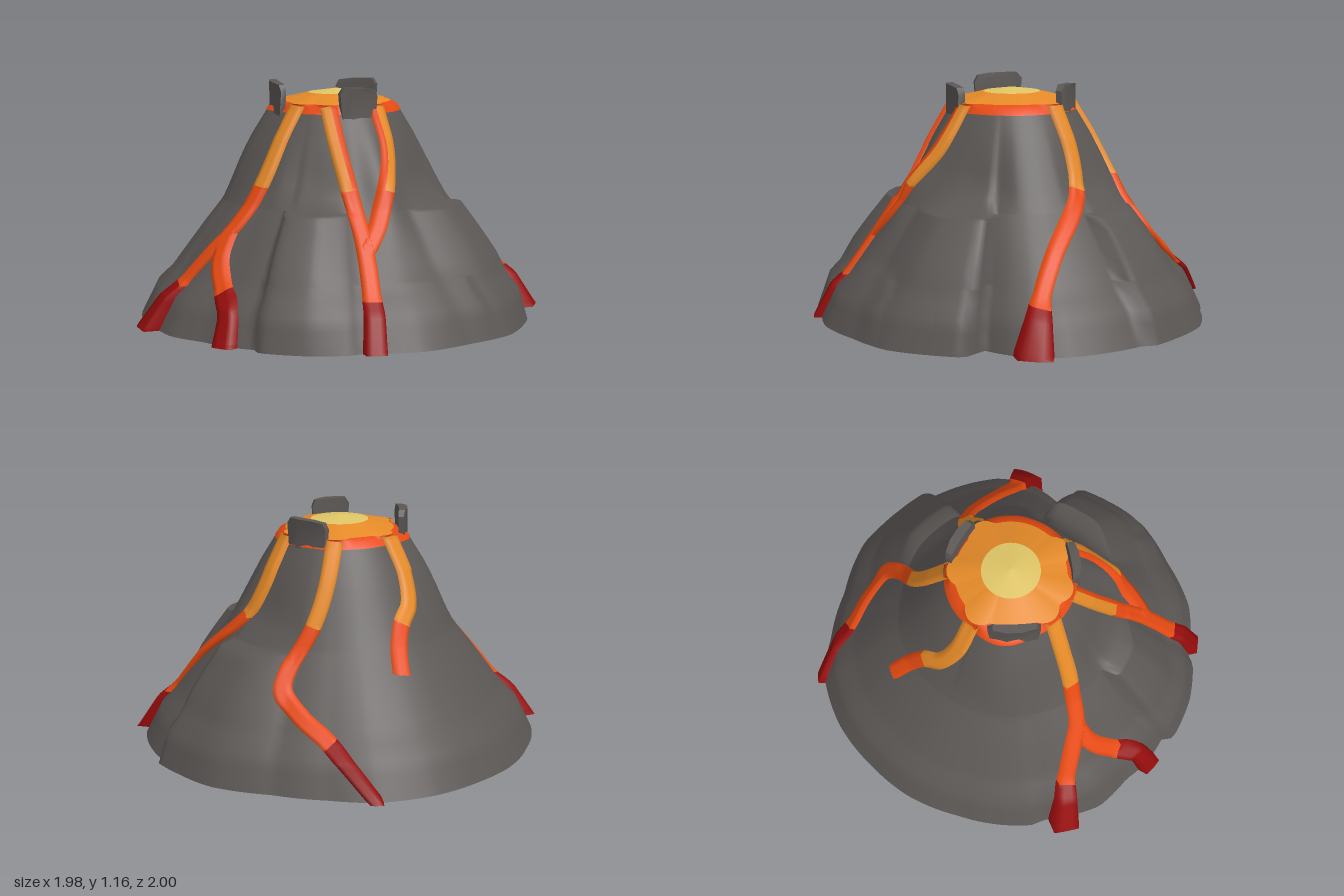
import * as THREE from 'three';
import { toCreasedNormals } from 'three/addons/utils/BufferGeometryUtils.js';

const mat = (name, color) => {
  const m = new THREE.MeshStandardMaterial({ color, side: THREE.DoubleSide });
  m.name = name;
  return m;
};
const { sin, cos, PI, atan2, hypot, min, max, abs } = Math;
const DEG = PI / 180;

// piecewise linear lookup in sorted [key, value] pairs
function lookup(table, k) {
  for (let i = 1; i < table.length; i++) {
    const [a, u] = table[i - 1], [b, v] = table[i];
    if (k <= b) return u + (v - u) * max(0, (k - a) / (b - a));
  }
  return table[table.length - 1][1];
}

// footprint of the mountain as x, z pairs, turned into angle / radius
const foot = [
  [0.05, -1], [0.27, -0.96], [0.45, -0.9], [0.47, -0.85], [0.78, -0.6], [0.84, -0.47], [0.85, -0.33],
  [0.82, -0.2], [0.96, -0.16], [0.985, 0], [0.985, 0.22], [0.87, 0.45], [0.72, 0.68], [0.47, 0.83],
  [0.45, 0.87], [0.27, 0.96], [0.04, 0.995], [0, 0.95], [-0.15, 0.95], [-0.28, 0.91], [-0.48, 0.87],
  [-0.7, 0.67], [-0.76, 0.63], [-0.93, 0.28], [-0.985, 0], [-0.96, -0.23], [-0.87, -0.51],
  [-0.7, -0.73], [-0.5, -0.83], [-0.25, -0.92],
].map(([x, z]) => [atan2(z, x) / DEG, hypot(x, z)]).sort((a, b) => a[0] - b[0]);
const first = foot[0], last = foot[foot.length - 1];
const outline = [[last[0] - 360, last[1]], ...foot, [first[0] + 360, first[1]]];

const slope = [[0, 0.98], [0.16, 0.9], [0.22, 0.835], [0.45, 0.665], [0.59, 0.555], [0.69, 0.5], [0.9, 0.388], [1.05, 0.295]];

// rock shoulders: sharp edge angle, soft edge angle, top height, bulge, hollow above
const shoulders = [[-12, 30, 0.575, 0.07, 0.1], [91, 58, 0.575, 0.065, 0.07], [-62, -104, 0.555, 0.06, 0.08], [19, 50, 0.28, 0.025, 0]];
const bulgeRise = [[0, 0], [0.16, 0.45], [0.35, 1]];
const hollowRise = [[0.575, 0], [0.69, 1], [1.05, 0]];
// soft ridges: centre angle, half width, thickness by height
const ridges = [
  [155, 35, [[0.55, 0], [0.8, 0.03], [1.05, 0.03]]],
  [41, 14, [[0.4, 0], [0.68, 0.035], [1, 0]]],
];

// mountain radius at an angle and height
function radius(theta, y) {
  let a = theta / DEG;
  a -= 360 * Math.floor((a + 180) / 360);
  const w = max(0, 1 - y / 1.05);
  let r = lookup(slope, y) * (1 + (lookup(outline, a) / 0.98 - 1) * w);
  for (const [sharp, soft, top, bulge, hollow] of shoulders) {
    const u = (a - sharp) / (soft - sharp);
    if (y <= top && u >= 0 && u <= 1) r += bulge * lookup(bulgeRise, y) * min(1, 2 * (1 - u)) ;
    const v = (u + 0.3) / 1.3;
    if (y > top && v > 0 && v < 1) r *= 1 - hollow * sin(v * PI) * lookup(hollowRise, y);
  }
  for (const [centre, half, rise] of ridges) {
    const u = abs(a - centre) / half;
    if (u < 1) r += lookup(rise, y) * cos(u * PI / 2) ** 2;
  }
  return r;
}

// surface through rows of points
function sheet(rows) {
  const n = rows[0].length, pos = [], idx = [];
  rows.forEach(row => row.forEach(p => pos.push(p.x, p.y, p.z)));
  for (let i = 0; i + 1 < rows.length; i++) {
    for (let j = 0; j + 1 < n; j++) {
      const a = i * n + j, b = a + n;
      idx.push(a, b, a + 1, a + 1, b, b + 1);
    }
  }
  const g = new THREE.BufferGeometry();
  g.setAttribute('position', new THREE.Float32BufferAttribute(pos, 3));
  g.setIndex(idx);
  g.computeVertexNormals();
  return g;
}

const around = (count, fn) => Array.from({ length: count + 1 }, (_, j) => {
  const t = -j / count * PI * 2;
  const [r, y] = fn(t);
  return new THREE.Vector3(r * cos(t), y, r * sin(t));
});

// lava runs: extra half width and thickness at the foot, side that glows hotter (0 for none), x, y, z points
const streams = {
  frontRightLava: [0.035, 0.05, 0, [[-0.08, 1.055, 0.29], [-0.13, 0.9, 0.38], [-0.18, 0.69, 0.46], [-0.28, 0.48, 0.57], [-0.37, 0.38, 0.61], [-0.5, 0.22, 0.66], [-0.65, 0, 0.76]]],
  frontRightLavaBranch: [0.018, 0.02, 0, [[-0.29, 0.48, 0.57], [-0.3, 0.35, 0.67], [-0.24, 0.23, 0.79], [-0.17, 0.15, 0.88], [-0.145, 0, 0.95]]],
  frontLeftLava: [0.012, 0.015, -1, [[0.08, 1.055, 0.29], [0.16, 0.88, 0.37], [0.25, 0.69, 0.44], [0.38, 0.45, 0.56], [0.46, 0.22, 0.67], [0.525, 0, 0.79]]],
  leftLava: [0, 0, 1, [[0.27, 1.055, 0.14], [0.37, 0.85, 0.23], [0.41, 0.68, 0.36], [0.42, 0.52, 0.48], [0.4, 0.42, 0.57]]],
  backLeftLava: [0.05, 0.045, 0, [[0.12, 1.055, -0.27], [0.18, 0.8, -0.39], [0.26, 0.66, -0.45], [0.55, 0.41, -0.44], [0.72, 0.22, -0.44], [0.84, 0, -0.45]]],
  backLava: [-0.008, 0.01, 0, [[-0.15, 1.055, -0.26], [-0.19, 0.85, -0.4], [-0.18, 0.68, -0.5], [-0.13, 0.5, -0.62], [-0.15, 0.41, -0.7], [-0.27, 0.32, -0.73], [-0.43, 0.22, -0.71], [-0.69, 0, -0.715]]],
  rightLava: [0, 0, 0, [[-0.29, 1.055, -0.02], [-0.4, 0.87, -0.04], [-0.47, 0.75, -0.1], [-0.5, 0.68, -0.19], [-0.53, 0.57, -0.27], [-0.575, 0.48, -0.325]]],
};
const across = [-1, -0.8, -0.35, 0, 0.35, 0.8, 1];

// strip that hugs the slope; edge and crown are its thickness over the rock
function strip(samples, lo, hi, columns, flare, edge, crown, swell) {
  const rows = [];
  for (let i = lo; i <= hi; i++) {
    const p = samples[i];
    const tan = samples[min(i + 1, samples.length - 1)].clone().sub(samples[max(i - 1, 0)]);
    const t = atan2(p.z, p.x);
    const side = tan.cross(new THREE.Vector3(cos(t) * 0.82, 0.57, sin(t) * 0.82)).normalize();
    const low = max(0, 1 - p.y / 0.25);
    const half = 0.043 + flare * low;
    rows.push(columns.map(s => {
      const q = p.clone().addScaledVector(side, s * half);
      q.y = i === samples.length - 1 && p.y < 0.01 ? 0 : max(0, min(1.06, q.y));
      const a = atan2(q.z, q.x);
      const r = radius(a, q.y) + (abs(s) === 1 ? edge : crown + swell * low);
      return q.set(r * cos(a), q.y, r * sin(a));
    }));
  }
  return sheet(rows);
}

export function createModel() {
  const group = new THREE.Group();
  const rock = mat('rock grey', 0x5b5755);
  const yellow = mat('pale yellow lava', 0xdfc566);
  const amber = mat('amber lava', 0xe58a28);
  const orange = mat('orange lava', 0xe64a12);
  const red = mat('dark red lava', 0x930c0c);
  const add = (name, geometry, material, parent = group) => {
    const mesh = new THREE.Mesh(geometry, material);
    mesh.name = name;
    parent.add(mesh);
  };

  // mountain
  const heights = [0, 0.05, 0.1, 0.16, 0.22, 0.275, 0.285, 0.34, 0.4, 0.45, 0.5, 0.55, 0.56, 0.574, 0.58, 0.64, 0.69, 0.76, 0.83, 0.9, 0.97, 1.04];
  add('mountain', sheet(heights.map(y => around(180, t => [radius(t, y), y]))), rock);

  // crater: hot edge, lava pool spilling into each stream, bright centre
  const spouts = Object.values(streams).map(s => s[3][0]).filter(p => p[1] > 1).map(p => atan2(p[2], p[0]));
  const poolRadius = t => 0.268 + 0.04 * max(0, ...spouts.map(s => (cos(t - s) - 0.96) / 0.04));
  add('craterEdge', sheet([
    around(90, t => [radius(t, 1.015) + 0.004, 1.015]),
    around(90, t => [radius(t, 1.045) + 0.002, 1.045]),
    around(90, t => [poolRadius(t), 1.06]),
  ]), orange);
  add('lavaPool', sheet([around(90, t => [poolRadius(t), 1.06]), around(90, () => [0.14, 1.1])]), amber);
  add('lavaCentre', sheet([around(40, () => [0.142, 1.1]), around(40, () => [0.001, 1.12])]), yellow);

  // lava streams, cooling from amber to red, seen on both sides of the rock shell
  for (const [name, [flare, swell, hot, pts]] of Object.entries(streams)) {
    const stream = new THREE.Group();
    stream.name = name;
    group.add(stream);
    const curve = new THREE.CatmullRomCurve3(pts.map(p => new THREE.Vector3(...p)), false, 'centripetal');
    const s = curve.getSpacedPoints(70);
    const cut = y => { const i = s.findIndex(p => p.y < y); return i < 0 ? 70 : i; };
    const ends = [0, cut(0.685), cut(0.22), 70];
    [['upper', amber], ['middle', orange], ['lower', red]].forEach(([part, m], k) => {
      const [lo, hi] = [ends[k], ends[k + 1]];
      if (hi <= lo) return;
      const edged = k === 0 && hot !== 0;
      const main = edged ? across.filter(c => c * hot <= 0.35) : across;
      add(part + 'Flow', strip(s, lo, hi, main, flare, 0.002, 0.026, swell), m, stream);
      if (edged) add('hotEdge', strip(s, lo, hi, across.filter(c => c * hot >= 0.35), flare, 0.002, 0.026, swell), orange, stream);
      add(part + 'FlowInside', strip(s, lo, hi, across, flare, -0.012, -0.012, 0), m, stream);
    });
  }

  // upright rocks on the crater rim, bent to follow it: x, z, width, top height
  for (const [x, z, w, top] of [[-0.25, 0.185, 0.25, 1.16], [0.21, 0.222, 0.19, 1.145], [-0.01, -0.295, 0.22, 1.15]]) {
    const h = w / 2, b = 0.99;
    const shape = new THREE.Shape([
      [-h * 0.9, b], [-h * 0.3, b], [h * 0.3, b], [h * 0.9, b], [h, top - 0.045], [h * 0.85, top - 0.012],
      [h * 0.3, top - 0.004], [-h * 0.3, top - 0.002], [-h * 0.8, top], [-h, top - 0.03],
    ].map(p => new THREE.Vector2(...p)));
    const g = new THREE.ExtrudeGeometry(shape, { depth: 0.045, bevelEnabled: false });
    const p = g.attributes.position;
    for (let i = 0; i < p.count; i++) {
      const u = p.getX(i);
      p.setZ(i, p.getZ(i) > 0.02 ? 0.025 - u * u * 1.9 : -0.02 - u * u * 0.6);
    }
    g.rotateY(atan2(x, z)).translate(x, 0, z);
    add('rimRock', toCreasedNormals(g, 0.7), rock);
  }
  return group;
}
